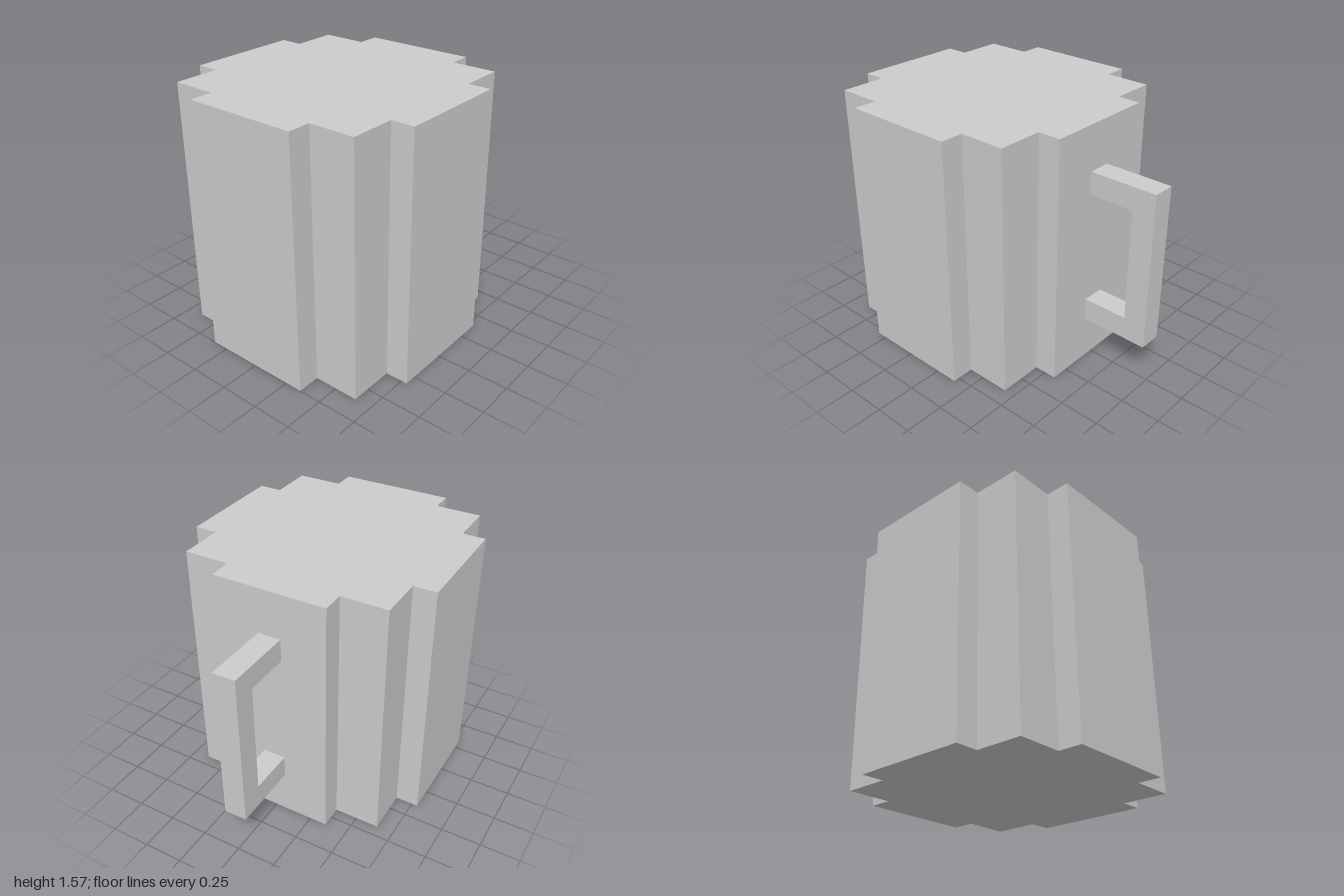
import * as THREE from 'three';

const U = 1 / 7; // one block of the stepped design

export function createModel() {
  const group = new THREE.Group();
  const material = new THREE.MeshStandardMaterial({ color: 0xcccccc, flatShading: true });

  const extrude = (points, depth) => {
    const shape = new THREE.Shape(points.map(([x, y]) => new THREE.Vector2(x * U, y * U)));
    return new THREE.ExtrudeGeometry(shape, { depth: depth * U, bevelEnabled: false });
  };
  const add = (name, geometry) => {
    const mesh = new THREE.Mesh(geometry, material);
    mesh.name = name;
    group.add(mesh);
    return mesh;
  };

  // Solid mug body: a blocky circle, one quarter of steps turned four times
  const quarter = [[5.5, -2.5], [5.5, 2.5], [4.5, 2.5], [4.5, 4.5], [2.5, 4.5]];
  const outline = [];
  let turned = quarter;
  for (let i = 0; i < 4; i++) {
    outline.push(...turned);
    turned = turned.map(([x, y]) => [-y, x]);
  }
  const body = add('body', extrude(outline, 11).rotateX(-Math.PI / 2));
  body.position.x = -1.5 * U;

  // Square C-shaped handle on the model's left side
  const handle = add('handle', extrude(
    [[4, 2], [7, 2], [7, 9], [4, 9], [4, 8], [6, 8], [6, 3], [4, 3]], 1));
  handle.position.z = -0.5 * U;

  return group;
}
